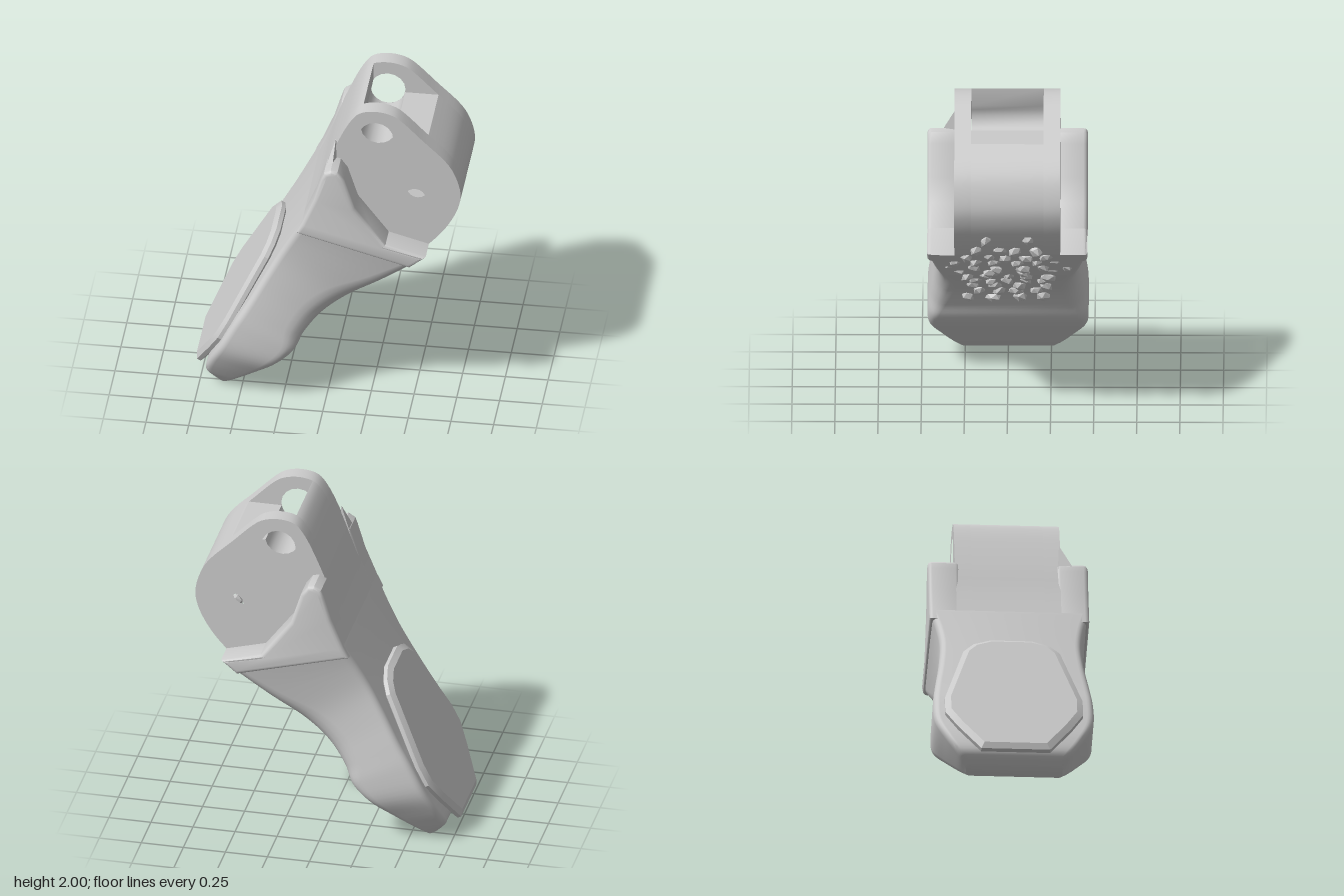
import * as THREE from 'three';
import { toCreasedNormals } from 'three/addons/utils/BufferGeometryUtils.js';
import { ConvexGeometry } from 'three/addons/geometries/ConvexGeometry.js';

const V2 = (x, y) => new THREE.Vector2(x, y);
const pts = list => list.map(([x, y]) => V2(x, y));
const grey = new THREE.MeshStandardMaterial({ color: 0xcccccc });
const greyFlat = new THREE.MeshStandardMaterial({ color: 0xcccccc, flatShading: true });

function add(parent, name, geometry, material = grey) {
  const mesh = new THREE.Mesh(geometry, material);
  mesh.name = name;
  parent.add(mesh);
  return mesh;
}

// Extrude a side profile from z0 to z1, with an optional inset bevel
function slab(shape, z0, z1, bevel = 0) {
  const geo = new THREE.ExtrudeGeometry(shape, {
    depth: z1 - z0 - 2 * bevel, curveSegments: 8, bevelEnabled: bevel > 0,
    bevelThickness: bevel, bevelSize: bevel, bevelOffset: -bevel, bevelSegments: 3,
  });
  geo.translate(0, 0, z0 + bevel);
  return toCreasedNormals(geo, 0.6);
}

function hole(x, y, r) {
  return new THREE.Path().absarc(x, y, r, 0, Math.PI * 2, true);
}

// Stations from tip to knuckle: outer edge, inner edge, [half width, inner fillet]
const outer = pts([[-0.66, 0.04], [-0.71, 0.11], [-0.685, 0.22], [-0.62, 0.36], [-0.54, 0.52],
  [-0.46, 0.66], [-0.37, 0.83], [-0.28, 1.0], [-0.2, 1.15], [-0.13, 1.28]]);
const inner = pts([[-0.6, 0.005], [-0.53, 0.06], [-0.4, 0.165], [-0.28, 0.265], [-0.18, 0.365],
  [-0.125, 0.47], [-0.02, 0.6], [0.13, 0.725], [0.33, 0.88], [0.59, 1.1]]);
const widths = pts([[0.28, 0.02], [0.33, 0.03], [0.4, 0.04], [0.46, 0.05], [0.465, 0.06],
  [0.45, 0.09], [0.425, 0.11], [0.412, 0.11], [0.43, 0.07], [0.465, 0.03]]);

// Lofted body with rounded rectangular sections
function bodyGeometry() {
  const [L, R, W] = [outer, inner, widths].map(p => new THREE.SplineCurve(p));
  const rings = 45, arc = 5, n = 4 * (arc + 1);
  const pos = [], idx = [];
  for (let j = 0; j <= rings; j++) {
    const t = j / rings, l = L.getPoint(t), r = R.getPoint(t), w = W.getPoint(t);
    const len = l.distanceTo(r), half = w.x;
    const fi = Math.min(w.y, len * 0.4), fo = Math.min(0.04, len * 0.3);
    // corner: u direction, z direction, fillet along u, fillet along z
    const corners = [[1, 1, fi * 1.3, fi], [-1, 1, fo, fo], [-1, -1, fo, fo], [1, -1, fi * 1.3, fi]];
    corners.forEach(([su, sz, fu, fz], c) => {
      for (let k = 0; k <= arc; k++) {
        const a = (c + k / arc) * Math.PI / 2;
        const u = len / 2 + su * (len / 2 - fu) + Math.cos(a) * fu;
        const p = l.clone().lerp(r, u / len);
        pos.push(p.x, p.y, sz * (half - fz) + Math.sin(a) * fz);
      }
    });
  }
  for (let j = 0; j < rings; j++) {
    for (let i = 0; i < n; i++) {
      const a = j * n + i, b = j * n + (i + 1) % n;
      idx.push(a, a + n, b, b, a + n, b + n);
    }
  }
  const top = rings * n;
  for (let i = 1; i < n - 1; i++) {
    idx.push(0, i, i + 1, top, top + i + 1, top + i);
  }
  const geo = new THREE.BufferGeometry();
  geo.setAttribute('position', new THREE.Float32BufferAttribute(pos, 3));
  geo.setIndex(idx);
  return toCreasedNormals(geo, 0.6);
}

const knuckleRim = pts([[-0.13, 1.28], [-0.06, 1.45], [0.0, 1.62], [0.07, 1.79], [0.13, 1.91], [0.19, 1.98],
  [0.28, 2.0], [0.37, 1.985], [0.44, 1.94], [0.56, 1.82], [0.69, 1.69], [0.75, 1.59],
  [0.78, 1.47], [0.765, 1.37], [0.72, 1.27], [0.66, 1.18], [0.59, 1.1]]);

function addKnuckle(group) {
  const knuckle = new THREE.Group();
  knuckle.name = 'knuckle';
  group.add(knuckle);
  const rim = new THREE.SplineCurve(knuckleRim).getPoints(64);
  const base = pts([[0.5, 1.06], [-0.08, 1.2]]);
  const pinHole = () => hole(0.515, 1.42, 0.062);

  // Side plates with both holes
  const plate = new THREE.Shape([...rim, ...base]);
  plate.holes.push(hole(0.285, 1.82, 0.102), pinHole());
  add(knuckle, 'leftPlate', slab(plate, 0.21, 0.307));
  add(knuckle, 'rightPlate', slab(plate, -0.307, -0.21));

  // Middle core, notched at the top and grooved by the large hole
  const groove = [];
  for (let i = 0; i <= 10; i++) {
    const a = 2.56 + (i / 10) * (6.086 - 2.56);
    groove.push(V2(0.285 + Math.cos(a) * 0.102, 1.82 + Math.sin(a) * 0.102));
  }
  const core = new THREE.Shape([
    ...rim.filter(p => p.x < 0.195 && p.y > 1.27), V2(0.2, 1.985), ...groove, V2(0.58, 1.8),
    ...rim.filter(p => p.x > 0.56 && p.y < 1.795), ...base,
  ]);
  core.holes.push(pinHole());
  add(knuckle, 'core', slab(core, -0.21, 0.21));
}

// Cheeks that embrace the knuckle
function addCheeks(group) {
  const cheek = new THREE.Shape(pts([[-0.165, 1.21], [-0.13, 1.28], [-0.06, 1.45], [-0.015, 1.6],
    [0.0, 1.64], [0.04, 1.665], [0.08, 1.655], [0.12, 1.6], [0.18, 1.41], [0.27, 1.29],
    [0.36, 1.17], [0.595, 1.105], [0.5, 1.025]]));
  add(group, 'leftCheek', slab(cheek, 0.28, 0.465, 0.025));
  add(group, 'rightCheek', slab(cheek, -0.465, -0.28, 0.025));
  // Small gusset beside the knuckle
  add(group, 'gusset', new ConvexGeometry([[-0.01, 1.6, 0.29], [0.05, 1.79, 0.3], [0.06, 1.64, 0.29],
    [0.0, 1.63, 0.38], [0.04, 1.65, 0.38]].map(p => new THREE.Vector3(...p))), greyFlat);
}

// Chamfered plate on the outer face of the tip
function addNail(group) {
  const side = [[0.2, 0], [0.33, 0.2], [0.4, 0.33], [0.4, 0.46], [0.28, 0.9], [0.22, 0.97], [0.12, 1.01]];
  const outline = [...side, ...side.map(([x, y]) => [-x, y]).reverse()];
  const geo = new THREE.ExtrudeGeometry(new THREE.Shape(pts(outline)), {
    depth: 0.025, bevelThickness: 0.02, bevelSize: 0.035, bevelOffset: -0.035, bevelSegments: 1,
  });
  geo.translate(0, 0, -0.045);
  const up = new THREE.Vector3(0.45, 0.893, 0).normalize();
  const across = new THREE.Vector3(0, 0, 1);
  const out = across.clone().cross(up);
  geo.applyMatrix4(new THREE.Matrix4().makeBasis(across, up, out).setPosition(-0.795, 0.11, 0));
  add(group, 'nail', toCreasedNormals(geo, 0.4));
}

// Rows of faceted grip studs on the inner face
function addStuds(group) {
  const studs = new THREE.Group();
  studs.name = 'gripStuds';
  group.add(studs);
  let seed = 7;
  const rand = () => (seed = (seed * 16807) % 2147483647) / 2147483647 - 0.5;
  const path = [...inner.slice(4), V2(0.66, 1.18), V2(0.72, 1.27), V2(0.765, 1.37)];
  // height, then half-row offsets in z
  const rows = [[0.56, 0.08, 0.22], [0.635, 0.05, 0.16], [0.7, 0.07, 0.22], [0.765, 0, 0.09, 0.19],
    [0.825, 0, 0.12, 0.24], [0.885, 0.1, 0.28], [0.94, 0.08, 0.2, 0.34], [1.005, 0.06, 0.18, 0.29],
    [1.075, 0, 0.12, 0.23], [1.155, 0.05, 0.17], [1.245, 0.11]];
  for (const [y, ...offsets] of rows) {
    const k = path.findIndex(p => p.y > y);
    const a = path[k - 1], b = path[k];
    const x = a.x + (b.x - a.x) * (y - a.y) / (b.y - a.y);
    for (const z of offsets.flatMap(o => (o ? [o, -o] : [0]))) {
      const stud = add(studs, 'stud', new THREE.IcosahedronGeometry(0.04, 0), greyFlat);
      stud.scale.set(1.05 + rand() * 0.4, 0.75, 1.1 + rand() * 0.4);
      const sink = z * z > 0.07 ? 0.012 : 0;
      stud.position.set(x - sink + rand() * 0.01, y + sink + rand() * 0.02, z + rand() * 0.03);
      stud.rotation.set(rand() * 0.6, rand() * 2, Math.atan2(b.y - a.y, b.x - a.x) + rand() * 0.4);
    }
  }
}

export function createModel() {
  const group = new THREE.Group();
  group.name = 'fingertip';
  add(group, 'body', bodyGeometry());
  addKnuckle(group);
  addCheeks(group);
  addNail(group);
  addStuds(group);
  return group;
}
